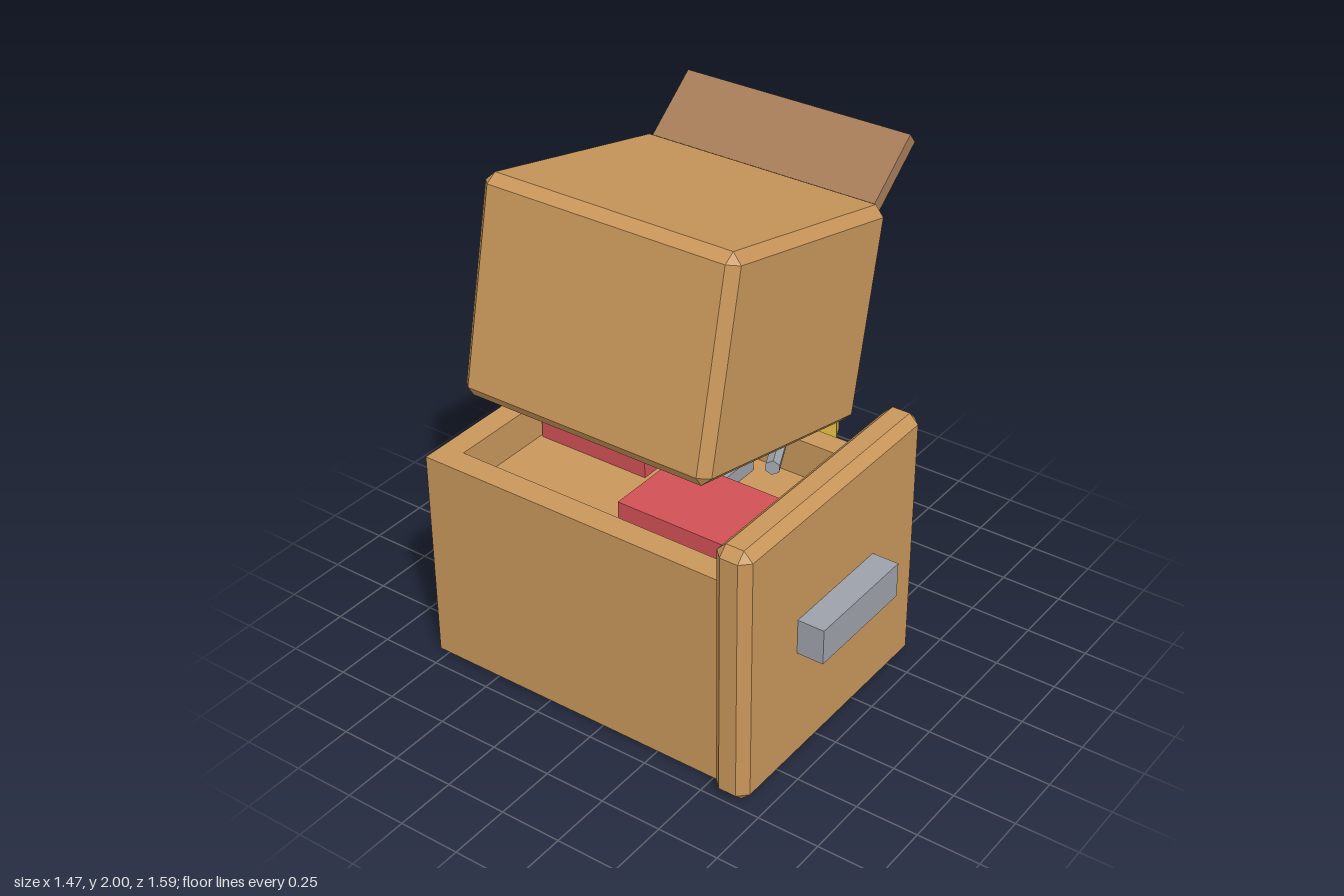
import * as THREE from 'three';
import { ConvexGeometry } from 'three/addons/geometries/ConvexGeometry.js';

const mat = (name, color) => {
  const m = new THREE.MeshStandardMaterial({ color });
  m.name = name;
  return m;
};

export function createModel() {
  const wood = mat('cardboard', 0xc8965a);
  const flapBrown = mat('flapBrown', 0xa67c58);
  const dark = mat('darkScreen', 0x363c42);
  const grey = mat('metalGrey', 0x9da1a9);
  const red = mat('red', 0xd05055);
  const blue = mat('blue', 0x4078be);
  const yellow = mat('yellow', 0xd9b545);

  const model = new THREE.Group();
  model.name = 'drawerAndBox';

  const add = (parent, name, geometry, material, x = 0, y = 0, z = 0) => {
    const mesh = new THREE.Mesh(geometry, material);
    mesh.name = name;
    mesh.position.set(x, y, z);
    parent.add(mesh);
    return mesh;
  };

  // Box given by its extents on each axis
  const block = (parent, name, material, [x0, x1], [y0, y1], [z0, z1]) =>
    add(parent, name, new THREE.BoxGeometry(x1 - x0, y1 - y0, z1 - z0), material,
      (x0 + x1) / 2, (y0 + y1) / 2, (z0 + z1) / 2);

  // Box with every edge cut by a flat chamfer c
  const chamferBox = (w, h, d, c) => {
    const half = [w / 2, h / 2, d / 2];
    const points = [];
    for (const sx of [-1, 1]) for (const sy of [-1, 1]) for (const sz of [-1, 1]) {
      for (let axis = 0; axis < 3; axis++) {
        const p = half.map((v, i) => (i === axis ? v : v - c));
        points.push(new THREE.Vector3(sx * p[0], sy * p[1], sz * p[2]));
      }
    }
    return new ConvexGeometry(points);
  };

  // Drawer: filled base, low rim on three sides, front panel and handle
  const drawer = new THREE.Group();
  drawer.name = 'drawer';
  model.add(drawer);
  block(drawer, 'drawerBase', wood, [-0.67, 0.315], [0, 0.73], [-0.795, 0.56]);
  block(drawer, 'drawerLeftWall', wood, [0.22, 0.315], [0.73, 0.885], [-0.795, 0.56]);
  block(drawer, 'drawerRightWall', wood, [-0.67, -0.57], [0.73, 0.885], [-0.795, 0.56]);
  block(drawer, 'drawerBackWall', wood, [-0.57, 0.22], [0.73, 0.885], [-0.795, -0.7]);
  add(drawer, 'drawerFront', chamferBox(1.125, 1.08, 0.147, 0.037), wood, -0.177, 0.54, 0.608);
  block(drawer, 'handle', grey, [-0.42, 0.07], [0.49, 0.635], [0.67, 0.79]);

  // Contents of the drawer
  block(drawer, 'rearBlock', red, [-0.13, 0.215], [0.72, 0.935], [-0.69, -0.2]);
  block(drawer, 'frontBlock', red, [-0.55, -0.2], [0.72, 0.935], [0, 0.485]);
  block(drawer, 'smallBlock', grey, [-0.13, 0.15], [0.72, 0.79], [-0.12, 0.1]);

  // Tilted box resting on the drawer
  const box = new THREE.Group();
  box.name = 'tiltedBox';
  box.position.set(-0.074, 1.4975, -0.1);
  box.rotation.z = THREE.MathUtils.degToRad(-12.5);
  model.add(box);
  add(box, 'boxBody', chamferBox(0.977, 0.831, 1.075, 0.038), wood);
  block(box, 'darkScreen', dark, [0.45, 0.517], [-0.302, 0.299], [-0.394, 0.394]);

  // Red wedge peeking out of the screen
  const wedge = new THREE.Shape();
  wedge.moveTo(-0.33, -0.088);
  wedge.lineTo(-0.17, -0.164);
  wedge.lineTo(-0.01, -0.088);
  wedge.closePath();
  const wedgeGeometry = new THREE.ExtrudeGeometry(wedge, { depth: 0.02, bevelEnabled: false });
  const wedgeMesh = add(box, 'screenWedge', wedgeGeometry, red, 0.505, 0, 0);
  wedgeMesh.rotation.y = Math.PI / 2;

  // Open flap at the upper edge
  const flap = add(model, 'flap', new THREE.BoxGeometry(0.292, 0.055, 0.98), flapBrown, 0.602, 1.867, -0.105);
  flap.rotation.z = THREE.MathUtils.degToRad(38.7);

  // Octagonal pins: a flat head with a thin shaft behind it
  const headGeometry = new THREE.CylinderGeometry(0.203, 0.203, 0.082, 8).toNonIndexed();
  const shaftGeometry = new THREE.CylinderGeometry(0.03, 0.03, 0.4, 6).toNonIndexed();
  headGeometry.computeVertexNormals();
  shaftGeometry.computeVertexNormals();
  const pins = [
    ['upperBluePin', blue, [0.395, 1.14, -0.267], [0.95, -0.2, -0.2]],
    ['yellowPin', yellow, [0.4, 0.852, 0.087], [0.89, -0.05, -0.43]],
    ['redPin', red, [0.41, 0.557, -0.25], [0.83, 0.03, -0.53]],
    ['lowerBluePin', blue, [0.42, 0.455, 0.106], [0, -0.366, 0.93]],
  ];
  const up = new THREE.Vector3(0, 1, 0);
  for (const [name, material, position, axis] of pins) {
    const pin = new THREE.Group();
    pin.name = name;
    pin.position.set(...position);
    pin.quaternion.setFromUnitVectors(up, new THREE.Vector3(...axis).normalize());
    add(pin, name + 'Head', headGeometry, material);
    add(pin, name + 'Shaft', shaftGeometry, grey, 0, -0.22, 0);
    model.add(pin);
  }

  // Cone stub on the floor
  const coneGeometry = new THREE.CylinderGeometry(0.097, 0.245, 0.25, 10).toNonIndexed();
  coneGeometry.computeVertexNormals();
  add(model, 'coneStub', coneGeometry, red, 0.432, 0.125, 0.095);

  return model;
}
